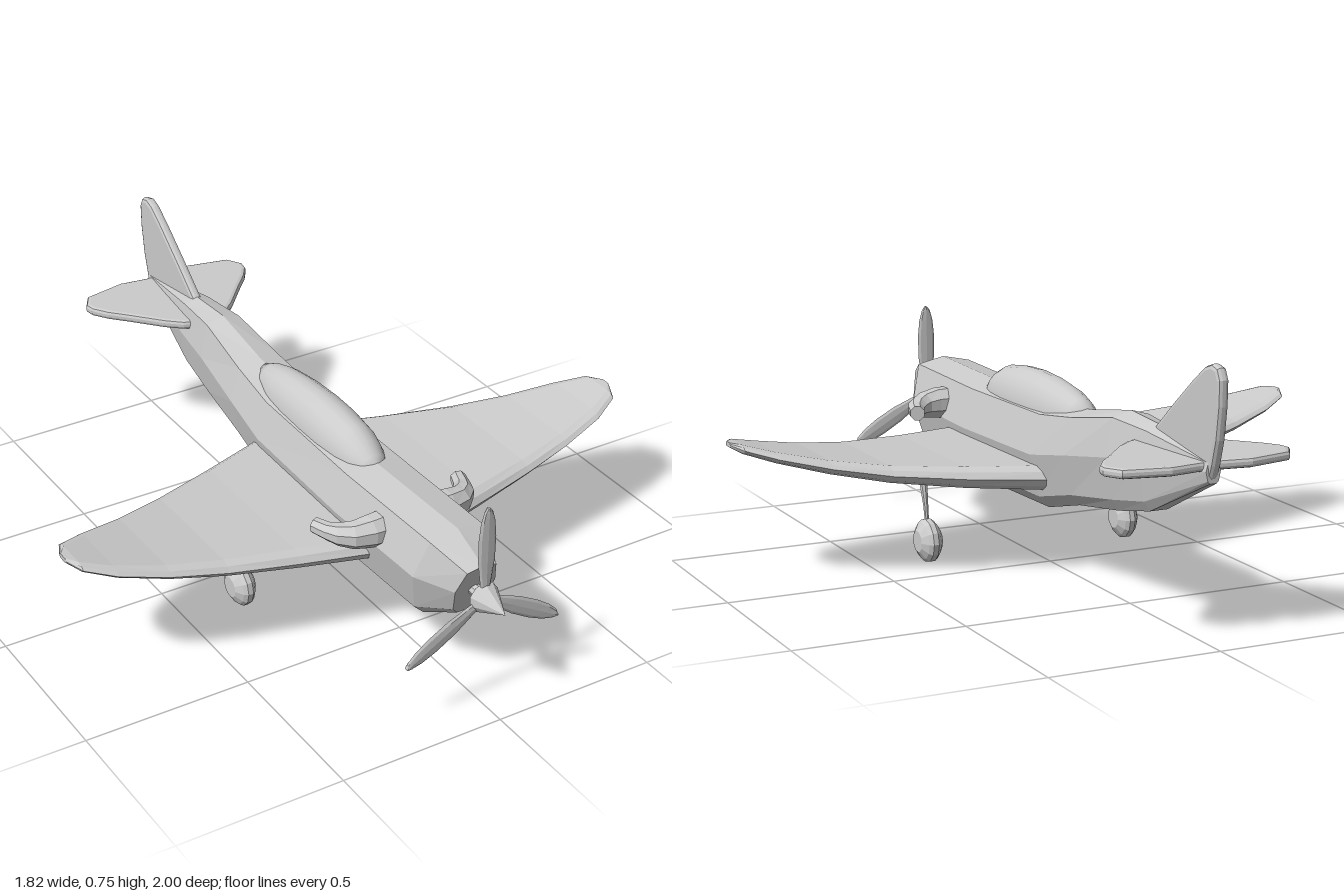
import * as THREE from 'three';
import { mergeVertices } from 'three/addons/utils/BufferGeometryUtils.js';

const flat = new THREE.MeshStandardMaterial({ color: 0xcccccc, flatShading: true });
const smooth = new THREE.MeshStandardMaterial({ color: 0xcccccc });
const V = (x, y, z) => new THREE.Vector3(x, y, z);

// Closed skin through equal-sized rings of points, capped at both ends and facing outwards
function loft(rings) {
  const n = rings[0].length, pts = rings.flat(), idx = [];
  for (let i = 0; i < rings.length - 1; i++) {
    for (let j = 0; j < n; j++) {
      const a = i * n + j, b = i * n + (j + 1) % n;
      idx.push(a, b, b + n, a, b + n, a + n);
    }
  }
  [0, rings.length - 1].forEach((r, end) => {
    const c = pts.length;
    pts.push(rings[r].reduce((s, p) => s.add(p), V(0, 0, 0)).divideScalar(n));
    for (let j = 0; j < n; j++) {
      const a = r * n + j, b = r * n + (j + 1) % n;
      if (end) idx.push(a, b, c); else idx.push(b, a, c);
    }
  });
  let volume = 0;
  for (let i = 0; i < idx.length; i += 3) {
    volume += pts[idx[i]].dot(pts[idx[i + 1]].clone().cross(pts[idx[i + 2]]));
  }
  if (volume < 0) idx.reverse();
  const g = new THREE.BufferGeometry().setFromPoints(pts);
  g.setIndex(idx);
  g.computeVertexNormals();
  return g;
}

function add(parent, name, geometry, material = flat) {
  const m = new THREE.Mesh(geometry, material);
  m.name = name;
  parent.add(m);
  return m;
}

// Thin plate with bevelled rim, centred on its own plane
function plate(points, thickness, bevel) {
  const shape = new THREE.Shape(points.map(p => new THREE.Vector2(...p)));
  const g = new THREE.ExtrudeGeometry(shape, {
    depth: thickness * 0.3, bevelEnabled: true, bevelThickness: thickness * 0.35,
    bevelSize: bevel, bevelOffset: -bevel, bevelSegments: 2,
  });
  return g.translate(0, 0, -thickness * 0.15);
}

function fuselage() {
  // half section: fraction of half width, fraction of height
  const half = [[0.45, 0], [0.75, 0.12], [1, 0.55], [0.72, 0.94]];
  const section = [...half, [0, 1], ...half.map(([x, y]) => [-x, y]).reverse()];
  // z at the top, backward slant, top, bottom, half width
  const stations = [
    [0.89, 0.38, 0.44, 0.26, 0.065], [0.77, 0.25, 0.492, 0.195, 0.12],
    [0.35, 0, 0.485, 0.187, 0.123], [-0.1, 0, 0.49, 0.195, 0.115],
    [-0.28, 0, 0.512, 0.24, 0.1], [-0.5, 0, 0.552, 0.272, 0.078],
    [-0.66, 0, 0.543, 0.305, 0.06], [-0.95, 0, 0.5, 0.44, 0.022],
  ];
  return loft(stations.map(([z, slant, top, bottom, w]) => section.map(([x, y]) =>
    V(x * w, bottom + y * (top - bottom), z - slant * (1 - y) * (top - bottom)))));
}

function canopy() {
  // z, top, half width
  const stations = [
    [0.37, 0.485, 0.02], [0.35, 0.5, 0.045], [0.31, 0.528, 0.062], [0.26, 0.55, 0.073],
    [0.17, 0.563, 0.08], [0.08, 0.567, 0.08], [-0.03, 0.562, 0.077], [-0.13, 0.549, 0.069],
    [-0.2, 0.53, 0.055], [-0.24, 0.512, 0.035],
  ];
  return loft(stations.map(([z, top, w]) => Array.from({ length: 20 }, (_, i) => {
    const a = i / 20 * Math.PI * 2;
    return V(Math.cos(a) * w, 0.455 + Math.sin(a) * (top - 0.455), z);
  })));
}

function wing(side) {
  // x, leading z, trailing z, middle y, half thickness
  const stations = [
    [0.08, 0.51, -0.17, 0.293, 0.036], [0.3, 0.455, -0.09, 0.3, 0.031],
    [0.5, 0.41, -0.015, 0.314, 0.025], [0.66, 0.377, 0.047, 0.338, 0.02],
    [0.8, 0.342, 0.1, 0.369, 0.016], [0.885, 0.3, 0.15, 0.393, 0.013],
    [0.91, 0.245, 0.205, 0.401, 0.007],
  ];
  return loft(stations.map(([x, lead, trail, y, t]) => {
    const b = Math.min(0.035, (lead - trail) * 0.2);
    const edge = [[lead, 0], [lead - b * 0.35, 0.6], [lead - b, 1],
      [trail + b, 1], [trail + b * 0.35, 0.6], [trail, 0]];
    const under = edge.slice(1, -1).reverse().map(([z, k]) => [z, -k]);
    return [...edge, ...under].map(([z, k]) => V(side * x, y + k * t, z));
  }));
}

// Bent stub pipe on the side of the nose
function exhaust(side) {
  // centre x, y, z, heading angle, radius
  const stations = [
    [0.07, 0.395, 0.535, 0, 0.05], [0.13, 0.395, 0.535, 0, 0.047],
    [0.175, 0.393, 0.525, 0.35, 0.04], [0.205, 0.392, 0.5, 0.8, 0.033],
    [0.222, 0.391, 0.47, 1.1, 0.026], [0.238, 0.391, 0.425, 1.2, 0.023],
  ];
  return loft(stations.map(([x, y, z, turn, r]) => Array.from({ length: 8 }, (_, i) => {
    const a = (i + 0.5) / 8 * Math.PI * 2, u = Math.cos(a) * r;
    return V(side * (x + u * Math.sin(turn)), y + Math.sin(a) * r, z + u * Math.cos(turn));
  })));
}

function propeller() {
  const prop = new THREE.Group();
  prop.name = 'propeller';
  prop.position.set(0, 0.347, 0.905);
  const cone = new THREE.ConeGeometry(0.047, 0.1, 10).rotateX(Math.PI / 2);
  add(prop, 'spinner', cone.translate(0, 0, 0.045));
  const shaft = new THREE.CylinderGeometry(0.018, 0.018, 0.09, 8).rotateX(Math.PI / 2);
  add(prop, 'propellerShaft', shaft.translate(0, 0, -0.04));
  // blade height, half width
  const profile = [[0.01, 0.012], [0.06, 0.019], [0.12, 0.027], [0.19, 0.028],
    [0.24, 0.023], [0.272, 0.014], [0.285, 0.004]];
  for (let i = 0; i < 3; i++) {
    const blade = add(prop, 'propellerBlade', loft(profile.map(([y, w]) =>
      Array.from({ length: 8 }, (_, j) => {
        const a = j / 8 * Math.PI * 2;
        return V(Math.cos(a) * w, y, Math.sin(a) * 0.006);
      }))));
    blade.rotation.z = i * Math.PI * 2 / 3;
  }
  return prop;
}

function landingGear(side) {
  const gear = new THREE.Group();
  gear.name = side > 0 ? 'leftLandingGear' : 'rightLandingGear';
  gear.position.set(side * 0.325, 0, 0);
  const tyre = [[0, -0.034], [0.032, -0.034], [0.056, -0.019], [0.065, -0.008],
    [0.065, 0.008], [0.056, 0.019], [0.032, 0.034], [0, 0.034]];
  const wheel = new THREE.LatheGeometry(tyre.map(p => new THREE.Vector2(...p)), 12);
  add(gear, 'wheel', wheel.rotateZ(Math.PI / 2).translate(0, 0.068, 0.155));
  const ring = (y, z, r) => Array.from({ length: 8 }, (_, i) => {
    const a = i / 8 * Math.PI * 2;
    return V(Math.cos(a) * r, y, z + Math.sin(a) * r);
  });
  add(gear, 'strut', loft([ring(0.1, 0.158, 0.006), ring(0.17, 0.169, 0.008), ring(0.29, 0.198, 0.016)]));
  return gear;
}

export function createModel() {
  const plane = new THREE.Group();
  plane.name = 'propellerAircraft';
  add(plane, 'fuselage', fuselage());
  add(plane, 'canopy', mergeVertices(canopy()), smooth);

  // Fin, drawn with z to the left and turned into the centre plane
  const finOutline = [[0.64, 0.5], [0.66, 0.54], [0.76, 0.623], [0.86, 0.702], [0.92, 0.745],
    [0.955, 0.757], [0.985, 0.75], [1, 0.72], [0.998, 0.65], [0.985, 0.56], [0.965, 0.49], [0.945, 0.44], [0.9, 0.44]];
  add(plane, 'tailFin', plate(finOutline, 0.032, 0.012).rotateY(Math.PI / 2));

  // Tailplane, one outline mirrored across the centre
  const tailHalf = [[0.04, 0.6], [0.075, 0.615], [0.12, 0.655], [0.19, 0.735], [0.245, 0.795],
    [0.275, 0.84], [0.28, 0.87], [0.25, 0.92], [0.12, 0.948], [0.03, 0.935]];
  const tailOutline = [...tailHalf, ...tailHalf.map(([x, z]) => [-x, z]).reverse()];
  add(plane, 'tailplane', plate(tailOutline, 0.028, 0.012).rotateX(-Math.PI / 2).translate(0, 0.483, 0));

  for (const side of [1, -1]) {
    const label = side > 0 ? 'left' : 'right';
    add(plane, label + 'Wing', wing(side));
    add(plane, label + 'Exhaust', exhaust(side));
    plane.add(landingGear(side));
  }
  plane.add(propeller());
  return plane;
}
